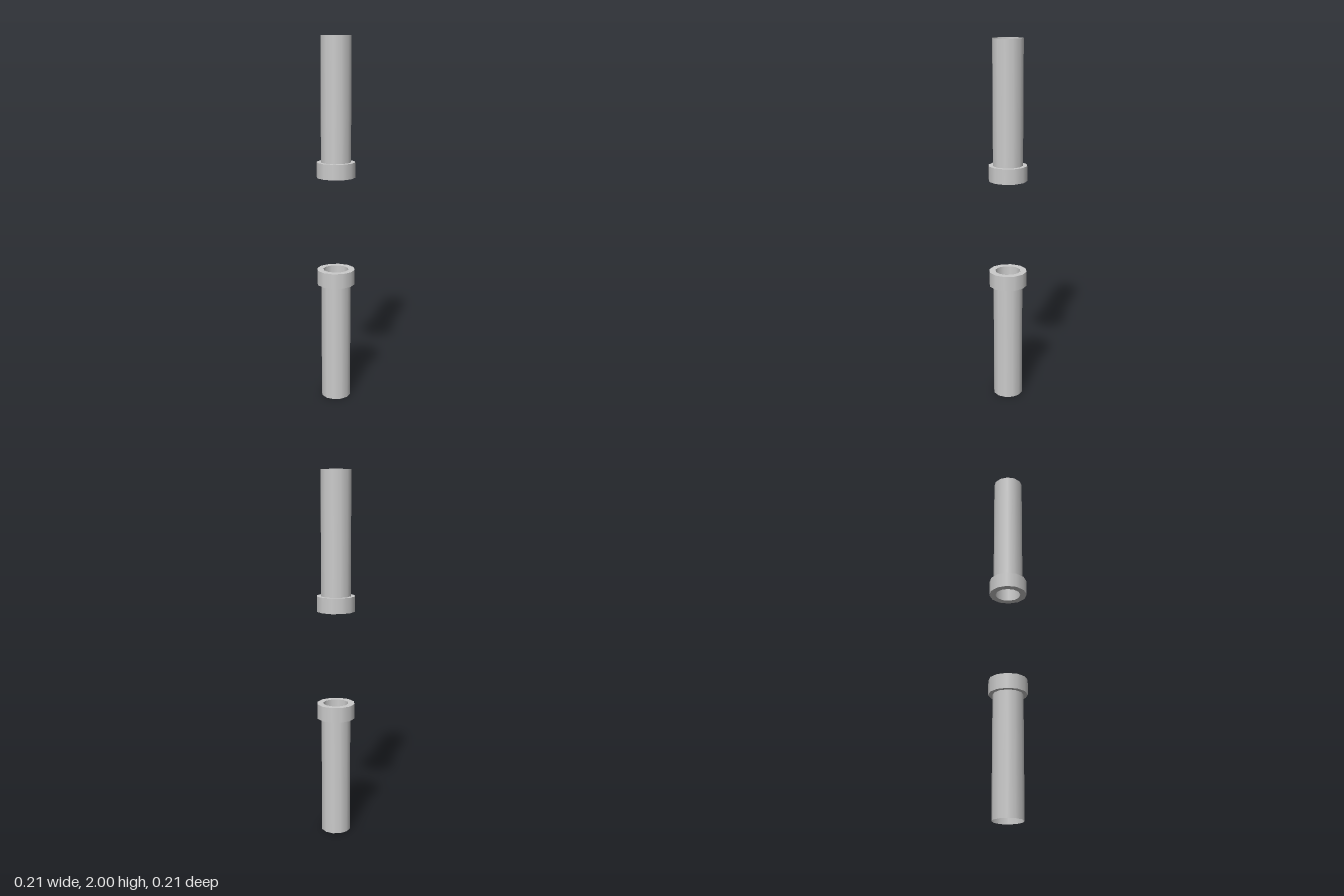
import * as THREE from 'three';

const SIDES = 12;
const PIPE_R = 0.082, COLLAR_R = 0.105, BORE_R = 0.07, BORE_END_R = 0.068;
const COLLAR_Y = 0.66, TOP_Y = 0.743, BORE_END_Y = 0.37;

const material = new THREE.MeshStandardMaterial({ color: 0xcccccc, side: THREE.DoubleSide });

function add(group, name, geometry) {
  const mesh = new THREE.Mesh(geometry, material);
  mesh.name = name;
  group.add(mesh);
}

// Open-ended wall between two heights
function wall(rBottom, rTop, y0, y1) {
  return new THREE.CylinderGeometry(rTop, rBottom, y1 - y0, SIDES, 1, true).translate(0, (y0 + y1) / 2, 0);
}

// Flat horizontal ring, facing up or down
function ring(inner, outer, y, up) {
  return new THREE.RingGeometry(inner, outer, SIDES).rotateX(up ? -Math.PI / 2 : Math.PI / 2).translate(0, y, 0);
}

// One pipe standing on its open end, with the collar at the top
function createPipe(name) {
  const pipe = new THREE.Group();
  pipe.name = name;
  add(pipe, 'shaft', wall(PIPE_R, PIPE_R, 0, COLLAR_Y));
  add(pipe, 'collarUnderside', ring(PIPE_R, COLLAR_R, COLLAR_Y, false));
  add(pipe, 'collarWall', wall(COLLAR_R, COLLAR_R, COLLAR_Y, TOP_Y));
  add(pipe, 'collarFace', ring(BORE_R, COLLAR_R, TOP_Y, true));
  // Slightly tapering bore, closed deep inside the shaft
  add(pipe, 'boreWall', wall(BORE_END_R, BORE_R, BORE_END_Y, TOP_Y));
  add(pipe, 'boreEnd', new THREE.CircleGeometry(BORE_END_R, SIDES).rotateX(-Math.PI / 2).translate(0, BORE_END_Y, 0));
  return pipe;
}

export function createModel() {
  const model = new THREE.Group();
  model.name = 'pipePair';
  const lower = createPipe('lowerPipe');
  // The upper pipe is the same part turned over
  const upper = createPipe('upperPipe');
  upper.rotation.x = Math.PI;
  upper.position.y = 2;
  model.add(lower, upper);
  return model;
}
